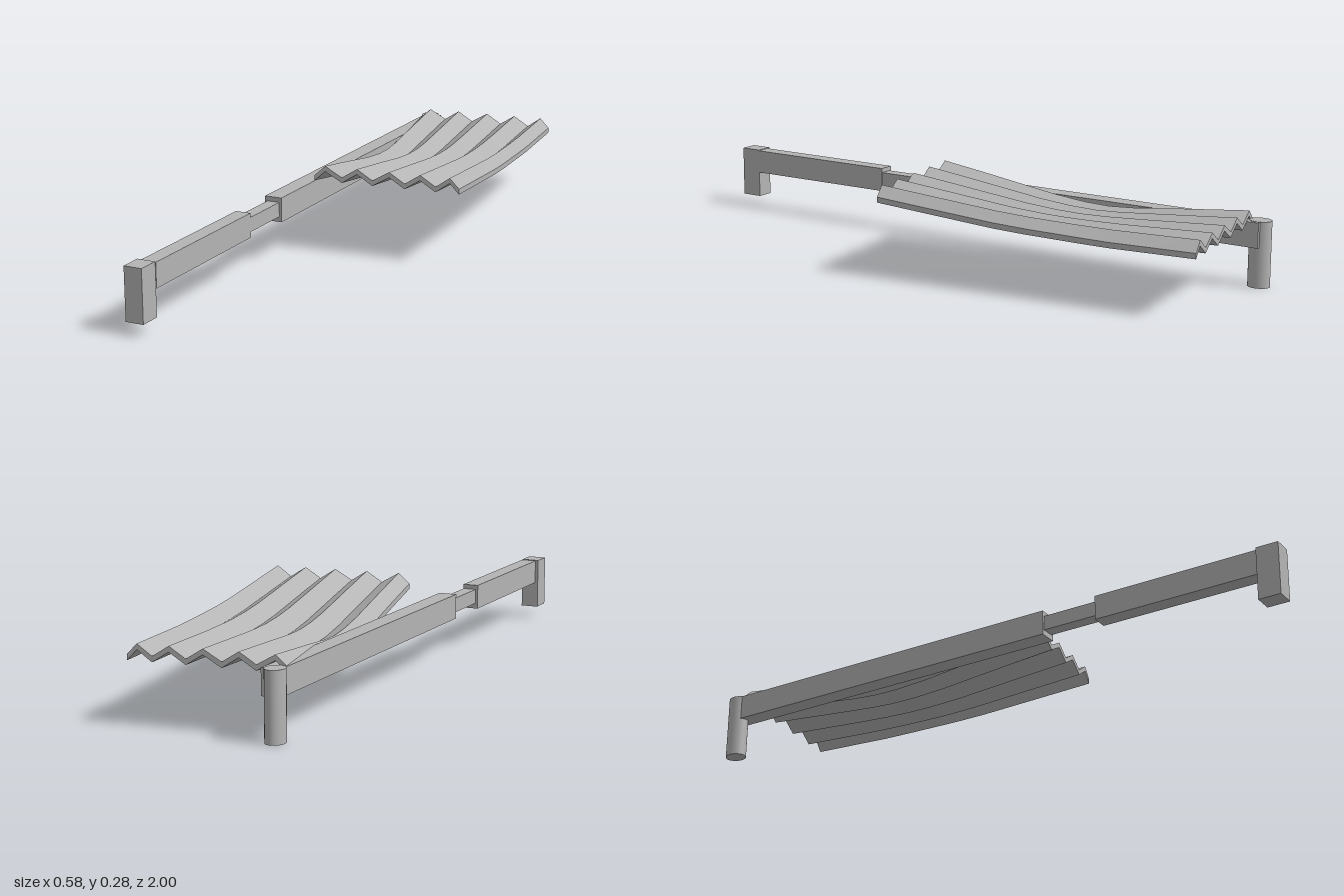
import * as THREE from 'three';
import { toCreasedNormals } from 'three/addons/utils/BufferGeometryUtils.js';

const metal = new THREE.MeshStandardMaterial({ color: 0xb4b4b4 });
metal.name = 'grey metal';

// Box given by its limits on each axis
function block(name, x0, x1, y0, y1, z0, z1) {
  const mesh = new THREE.Mesh(new THREE.BoxGeometry(x1 - x0, y1 - y0, z1 - z0), metal);
  mesh.position.set((x0 + x1) / 2, (y0 + y1) / 2, (z0 + z1) / 2);
  mesh.name = name;
  return mesh;
}

// Pleated sheet: a zigzag cross-section swept from back to front with a sag in the middle
function pleatedSheet() {
  const thickness = 0.017, pleat = 0.032;
  const acrossX = [-0.18, -0.145, -0.09, -0.04, 0.01, 0.065, 0.115, 0.165, 0.215, 0.26, 0.29];
  // [position along the sheet, height at the arm side, height at the free side]
  const stations = [
    [0, 0.2, 0.2], [0.26, 0.175, 0.2], [0.36, 0.164, 0.203], [0.44, 0.16, 0.206],
    [0.52, 0.165, 0.209], [0.62, 0.179, 0.215], [0.85, 0.223, 0.236], [1, 0.25, 0.25],
  ];
  const n = acrossX.length, positions = [], index = [];
  stations.forEach(([t, armSide, freeSide]) => {
    for (const drop of [0, thickness]) {
      acrossX.forEach((x, i) => {
        const u = (x + 0.18) / 0.47;
        positions.push(
          x - 0.105 * (1 - t),
          THREE.MathUtils.lerp(armSide, freeSide, u) + (i % 2) * pleat - drop,
          -0.93 + 1.02 * t - 0.05 * u
        );
      });
    }
  });
  const at = (s, layer, i) => s * 2 * n + layer * n + i;
  const quad = (a, b, c, d) => index.push(a, b, c, a, c, d);
  const last = stations.length - 1;
  for (let s = 0; s < last; s++) {
    for (let i = 0; i < n - 1; i++) {
      quad(at(s, 0, i), at(s + 1, 0, i), at(s + 1, 0, i + 1), at(s, 0, i + 1));
      quad(at(s, 1, i), at(s, 1, i + 1), at(s + 1, 1, i + 1), at(s + 1, 1, i));
    }
    // Long edges
    quad(at(s, 0, 0), at(s, 1, 0), at(s + 1, 1, 0), at(s + 1, 0, 0));
    quad(at(s, 0, n - 1), at(s + 1, 0, n - 1), at(s + 1, 1, n - 1), at(s, 1, n - 1));
  }
  // Front and back edges
  for (let i = 0; i < n - 1; i++) {
    quad(at(last, 0, i), at(last, 1, i), at(last, 1, i + 1), at(last, 0, i + 1));
    quad(at(0, 0, i), at(0, 0, i + 1), at(0, 1, i + 1), at(0, 1, i));
  }
  const geometry = new THREE.BufferGeometry();
  geometry.setAttribute('position', new THREE.Float32BufferAttribute(positions, 3));
  geometry.setIndex(index);
  const mesh = new THREE.Mesh(toCreasedNormals(geometry, 0.5), metal);
  mesh.name = 'pleatedSheet';
  return mesh;
}

export function createModel() {
  const model = new THREE.Group();
  model.name = 'pleatedSheetOnArm';

  // Telescoping arm
  model.add(
    block('frontFoot', -0.295, -0.237, 0.04, 0.204, 0.93, 1),
    block('frontArm', -0.285, -0.235, 0.125, 0.202, 0.4, 0.93),
    block('armNeck', -0.277, -0.236, 0.142, 0.188, 0.22, 0.4),
    block('rearArm', -0.285, -0.228, 0.125, 0.203, -0.975, 0.22)
  );

  // Round post under the rear end
  const post = new THREE.Mesh(new THREE.CylinderGeometry(0.029, 0.029, 0.204, 24), metal);
  post.scale.z = 1.2;
  post.position.set(-0.266, 0.102, -0.965);
  post.name = 'rearPost';
  model.add(post);

  model.add(pleatedSheet());
  return model;
}
